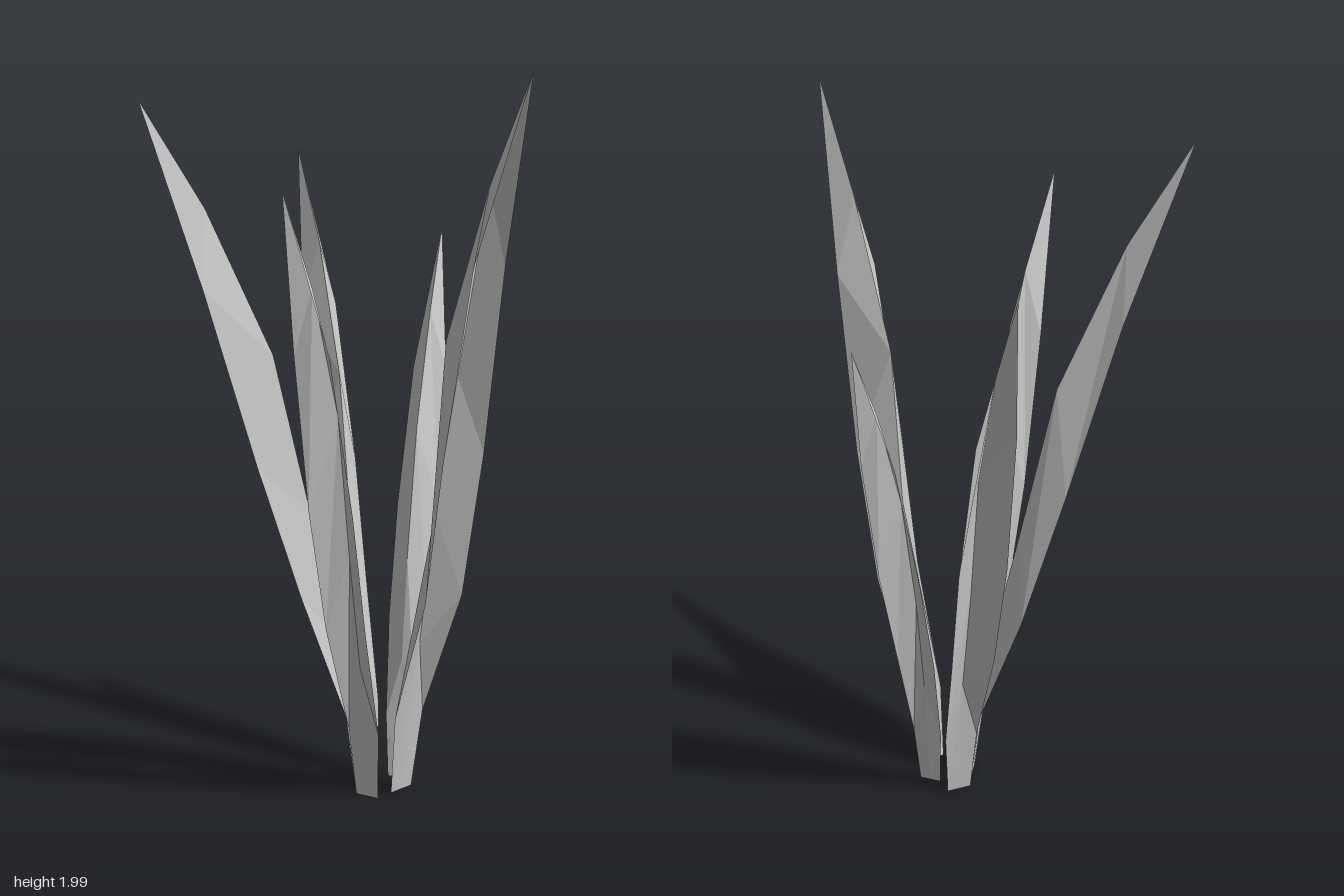
import * as THREE from 'three';

// Growth pattern shared by all leaves, one entry per row, as fractions of the leaf height.
const EDGE_Y = [0.005, 0.12, 0.3, 0.5, 0.75];
const RIDGE_Y = [0.005, 0.23, 0.42, 0.65, 0.855];
const HALF_WIDTH = [0.02, 0.027, 0.0355, 0.0385, 0.0305];
const RIDGE_SHIFT = [0, 0.012, -0.011, -0.022, -0.001];

// Leaf: blade heading around y, fold depth, and plan points (x, z) of its spine.
const LEAVES = [
  { name: 'frontLeaf', height: 2, heading: 0.17, fold: 1.6,
    base: [0.14, 0.128], low: [0.168, 0.278], high: [0.214, 0.388], tip: [0.245, 0.51] },
  { name: 'backLeaf', height: 1.75, heading: 3.02, fold: 0.8,
    base: [0.132, -0.029], low: [0.148, -0.155], high: [0.192, -0.371], tip: [0.21, -0.51] },
  { name: 'rightBackLeaf', height: 1.92, heading: -2.21, fold: 0.9,
    base: [0.055, 0.03], low: [-0.064, -0.058], high: [-0.33, -0.108], tip: [-0.478, -0.178] },
  { name: 'rightFrontLeaf', height: 1.72, heading: -1.1, fold: 1,
    base: [0.035, 0.113], low: [-0.068, 0.159], high: [-0.221, 0.234], tip: [-0.342, 0.293] },
  { name: 'leftLeaf', height: 1.54, heading: 2.31, fold: 0.8,
    base: [0.186, 0.05], low: [0.244, 0.008], high: [0.381, -0.088], tip: [0.475, -0.165] },
];

const mix = (p, q, t) => [p[0] + (q[0] - p[0]) * t, p[1] + (q[1] - p[1]) * t];

// Folded blade: two strips meeting along a ridge, closing at the tip.
function leafGeometry({ height, heading, fold, base, low, high, tip }) {
  const spine = [base, mix(base, low, 0.18), low, mix(low, high, 0.46), high];
  const s = Math.sin(heading);
  const c = Math.cos(heading);
  const positions = [];
  const index = [];
  const last = spine.length - 1;
  spine.forEach(([x, z], i) => {
    const half = HALF_WIDTH[i] * height;
    const shift = RIDGE_SHIFT[i] * height * fold;
    const edgeY = EDGE_Y[i] * height;
    positions.push(x - c * half, edgeY, z + s * half);
    positions.push(x + s * shift, RIDGE_Y[i] * height, z + c * shift);
    positions.push(x + c * half, edgeY, z - s * half);
    for (let p = i * 3; p < i * 3 + 2; p++) {
      if (i === last) index.push(p, p + 1, spine.length * 3);
      else index.push(p, p + 1, p + 4, p, p + 4, p + 3);
    }
  });
  positions.push(tip[0], height, tip[1]);
  const geometry = new THREE.BufferGeometry();
  geometry.setAttribute('position', new THREE.Float32BufferAttribute(positions, 3));
  geometry.setIndex(index);
  const faceted = geometry.toNonIndexed();
  faceted.computeVertexNormals();
  return faceted;
}

export function createModel() {
  const group = new THREE.Group();
  group.name = 'leafTuft';
  const material = new THREE.MeshStandardMaterial({
    color: 0xcccccc, flatShading: true, side: THREE.DoubleSide,
  });
  for (const leaf of LEAVES) {
    const mesh = new THREE.Mesh(leafGeometry(leaf), material);
    mesh.name = leaf.name;
    group.add(mesh);
  }
  return group;
}
